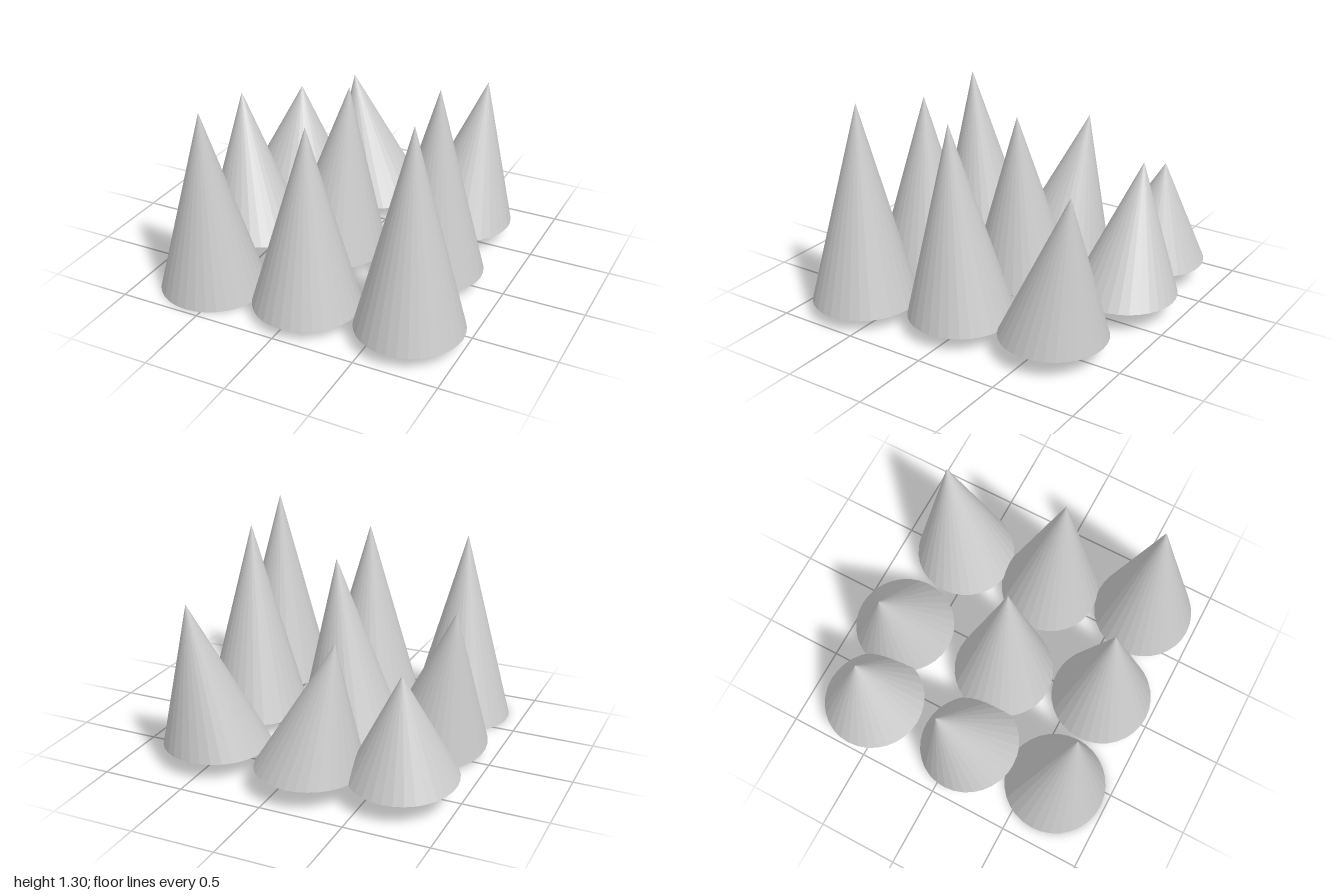
import * as THREE from 'three';

const RADIUS = 0.318;

// Cone with a leaning tip: base centre, tip position, and base tilt about x.
function leaningCone(base, tip, tilt) {
  const geo = new THREE.ConeGeometry(RADIUS, 1, 32, 1);
  geo.translate(0, 0.5, 0);
  const pos = geo.attributes.position;
  const p = new THREE.Vector3();
  for (let i = 0; i < pos.count; i++) {
    p.fromBufferAttribute(pos, i);
    if (p.y > 0.5) {
      p.set(...tip);
    } else {
      p.set(
        base[0] + p.x,
        base[1] + p.z * Math.sin(tilt),
        base[2] + p.z * Math.cos(tilt)
      );
    }
    pos.setXYZ(i, p.x, p.y, p.z);
  }
  geo.computeVertexNormals();
  return geo;
}

export function createModel() {
  const group = new THREE.Group();
  const material = new THREE.MeshStandardMaterial({ color: 0xcccccc, flatShading: true });

  // name, base centre, tip, base tilt
  const cones = [
    // front row
    ['frontRightCone', [-0.593, 0, 0.655], [-0.58, 1.155, 0.735], 0],
    ['frontMiddleCone', [0.04, 0.06, 0.66], [0.045, 1.165, 0.655], 0],
    ['frontLeftCone', [0.68, 0.08, 0.645], [0.68, 1.3, 0.645], 0],
    // middle row
    ['middleRightCone', [-0.635, 0.063, 0.068], [-0.78, 0.94, -0.04], 0.16],
    ['centreCone', [-0.1, 0.08, 0.03], [-0.01, 1.14, 0.01], 0],
    ['middleLeftCone', [0.545, 0.09, 0.03], [0.585, 1.26, 0.07], 0],
    // back row
    ['backRightCone', [-0.683, 0.152, -0.585], [-0.685, 0.77, -0.64], 0.08],
    ['backMiddleCone', [-0.15, 0.135, -0.667], [-0.315, 0.905, -0.68], 0],
    ['backLeftCone', [0.5, 0.115, -0.572], [0.585, 1.005, -0.72], 0],
  ];

  for (const [name, base, tip, tilt] of cones) {
    const mesh = new THREE.Mesh(leaningCone(base, tip, tilt), material);
    mesh.name = name;
    group.add(mesh);
  }
  return group;
}
